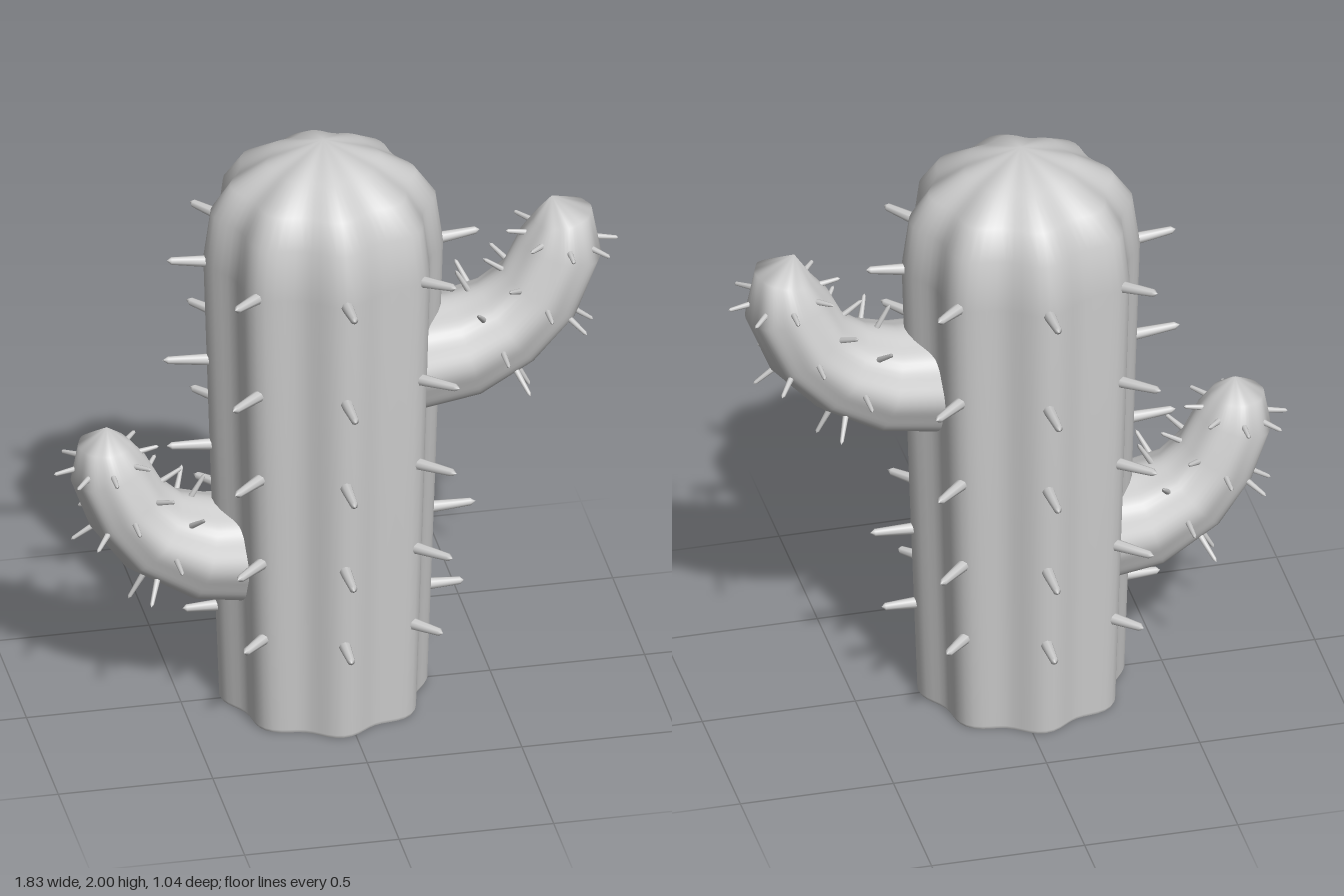
import * as THREE from 'three';
import { mergeVertices } from 'three/addons/utils/BufferGeometryUtils.js';

const material = new THREE.MeshStandardMaterial({ color: 0xcccccc });
const RIBS = 8;
const Z = new THREE.Vector3(0, 0, 1);

// Stem sections as [x, y, radius], from the base to the tip
const TRUNK = [
  [-0.04, 0, 0.33], [-0.04, 0.012, 0.336], [-0.04, 0.8, 0.363], [-0.04, 1.6, 0.387], [-0.04, 1.77, 0.363],
  [-0.04, 1.86, 0.3], [-0.04, 1.93, 0.185], [-0.04, 2, 0],
];
const LEFT_ARM = [
  [0.22, 1.19, 0.185], [0.41, 1.21, 0.175], [0.55, 1.275, 0.158], [0.66, 1.38, 0.145],
  [0.725, 1.53, 0.138], [0.735, 1.64, 0.095], [0.7, 1.71, 0],
];
const RIGHT_ARM = [
  [-0.28, 0.55, 0.18], [-0.44, 0.565, 0.172], [-0.59, 0.64, 0.15], [-0.68, 0.75, 0.135],
  [-0.735, 0.88, 0.125], [-0.748, 0.97, 0.085], [-0.74, 1.03, 0],
];

// Position, radius and cross-section axes at a (fractional) section index
function makeStem(sections, ribDepth, depthScale) {
  const curve = new THREE.CatmullRomCurve3(sections.map(([x, y]) => new THREE.Vector3(x, y, 0)));
  const last = sections.length - 1;
  const frame = (i) => {
    const k = Math.min(Math.floor(i), last - 1);
    const center = curve.getPoint(i / last);
    const tangent = curve.getTangent(i / last);
    const radius = THREE.MathUtils.lerp(sections[k][2], sections[k + 1][2], i - k);
    return { center, tangent, radius, normal: new THREE.Vector3().crossVectors(Z, tangent) };
  };
  const direction = (f, angle) => f.normal.clone().multiplyScalar(Math.cos(angle))
    .addScaledVector(Z, Math.sin(angle) * depthScale);
  const surface = (i, angle) => {
    const f = frame(i);
    const r = f.radius * (1 - ribDepth * (0.5 - 0.5 * Math.cos(RIBS * angle)));
    return f.center.addScaledVector(direction(f, angle), r);
  };
  return { last, frame, direction, surface };
}

// Smooth ribbed skin through all sections
function stemMesh(stem, name, sides = 64) {
  const positions = [], index = [];
  for (let i = 0; i <= stem.last; i++) {
    for (let j = 0; j < sides; j++) positions.push(...stem.surface(i, (j / sides) * Math.PI * 2).toArray());
  }
  for (let i = 0; i < stem.last; i++) {
    for (let j = 0; j < sides; j++) {
      const a = i * sides + j, b = i * sides + (j + 1) % sides;
      index.push(a, b, a + sides);
      if (i < stem.last - 1) index.push(b, b + sides, a + sides);
    }
  }
  let geometry = new THREE.BufferGeometry();
  geometry.setAttribute('position', new THREE.Float32BufferAttribute(positions, 3));
  geometry.setIndex(index);
  geometry = mergeVertices(geometry);
  geometry.computeVertexNormals();
  const mesh = new THREE.Mesh(geometry, material);
  mesh.name = name;
  return mesh;
}

// Blunt thorn with a small point, standing on the surface
function spine(base, direction, length, radius) {
  const profile = [[radius, -0.03], [radius * 0.6, length * 0.88], [0, length]];
  const geometry = new THREE.LatheGeometry(profile.map(([r, y]) => new THREE.Vector2(r, y)), 8);
  const mesh = new THREE.Mesh(geometry, material);
  mesh.position.copy(base);
  mesh.quaternion.setFromUnitVectors(new THREE.Vector3(0, 1, 0), direction.normalize());
  mesh.name = 'spine';
  return mesh;
}

// Rings of eight spines, one on every rib
function spineRings(stem, name, rings, radius, lift, skip = () => false) {
  const group = new THREE.Group();
  group.name = name;
  rings.forEach(([i, length], ring) => {
    const f = stem.frame(i);
    for (let k = 0; k < RIBS; k++) {
      if (skip(ring, k)) continue;
      const angle = (k / RIBS) * Math.PI * 2;
      const direction = stem.direction(f, angle).addScaledVector(f.tangent, lift * ring);
      group.add(spine(stem.surface(i, angle), direction, length, radius));
    }
  });
  return group;
}

// Section index of a height on the trunk
function trunkIndex(y) {
  let lo = 0, hi = TRUNK.length - 1;
  const stem = makeStem(TRUNK, 0, 1);
  for (let n = 0; n < 30; n++) {
    const mid = (lo + hi) / 2;
    if (stem.frame(mid).center.y < y) lo = mid; else hi = mid;
  }
  return lo;
}

export function createModel() {
  const model = new THREE.Group();
  model.name = 'cactus';

  // Trunk with a flat scalloped base
  const trunk = makeStem(TRUNK, 0.11, 1);
  model.add(stemMesh(trunk, 'trunk', 80));
  const outline = [];
  for (let j = 0; j < 80; j++) {
    const p = trunk.surface(0, -(j / 80) * Math.PI * 2);
    outline.push(new THREE.Vector2(p.x, p.z));
  }
  const base = new THREE.Mesh(new THREE.ShapeGeometry(new THREE.Shape(outline)).rotateX(Math.PI / 2), material);
  base.name = 'trunkBase';
  model.add(base);

  // Trunk spines, left out where the arms grow
  const rows = [[0.34, 0.105], [0.62, 0.135], [0.93, 0.14], [1.24, 0.145], [1.6, 0.12]];
  const blocked = (ring, k) => (k === 0 && ring === 1) || (k === 4 && (ring === 2 || ring === 3));
  model.add(spineRings(trunk, 'trunkSpines', rows.map(([y, l]) => [trunkIndex(y), l]), 0.021, 0.03, blocked));

  // Two curved arms with smaller spines
  for (const [name, sections] of [['leftArm', LEFT_ARM], ['rightArm', RIGHT_ARM]]) {
    const arm = makeStem(sections, 0.04, 1.06);
    const group = new THREE.Group();
    group.name = name;
    group.add(stemMesh(arm, name + 'Stem'));
    group.add(spineRings(arm, name + 'Spines', [[1.68, 0.09], [2.95, 0.075], [4.3, 0.06]], 0.011, 0));
    model.add(group);
  }
  return model;
}
